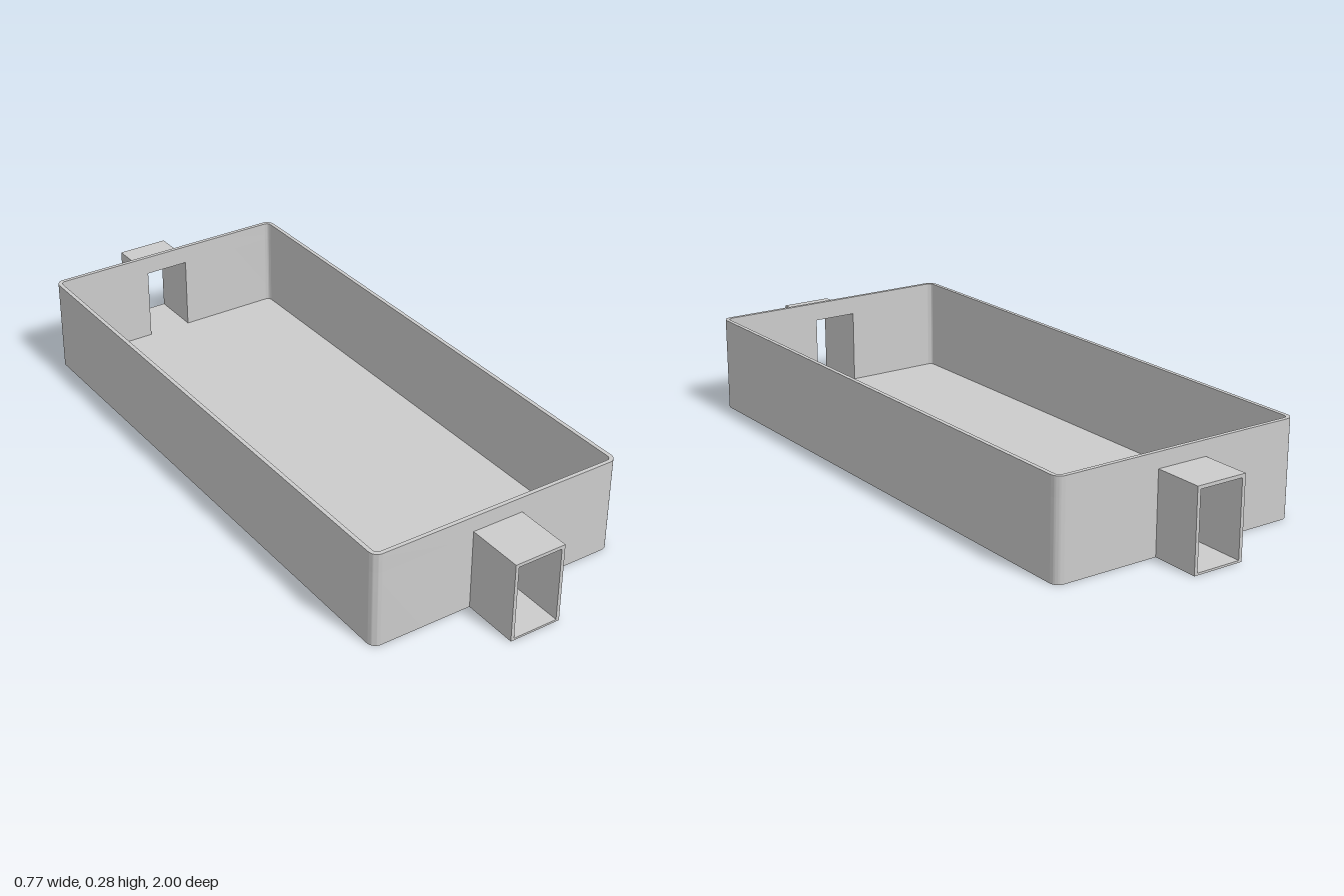
import * as THREE from 'three';
import { toCreasedNormals } from 'three/addons/utils/BufferGeometryUtils.js';

const HALF_X = 0.385, Z_BACK = -0.855, Z_FRONT = 0.832, HEIGHT = 0.28;
const RADIUS = 0.026, WALL = 0.012, FLOOR = 0.006;
// opening shared by the end walls and the ducts
const OPEN = { x0: -0.073, x1: 0.062, top: 0.225 };
const DUCT_WALL = 0.01;

// rounded footprint of the tray, inset by d (shape y is -z)
function footprint(d, Type = THREE.Shape) {
  const x = HALF_X - d, y0 = -Z_FRONT + d, y1 = -Z_BACK - d, r = RADIUS - d;
  const s = new Type();
  s.moveTo(-x + r, y0);
  s.lineTo(x - r, y0);
  s.absarc(x - r, y0 + r, r, -Math.PI / 2, 0);
  s.lineTo(x, y1 - r);
  s.absarc(x - r, y1 - r, r, 0, Math.PI / 2);
  s.lineTo(-x + r, y1);
  s.absarc(-x + r, y1 - r, r, Math.PI / 2, Math.PI);
  s.lineTo(-x, y0 + r);
  s.absarc(-x + r, y0 + r, r, Math.PI, Math.PI * 1.5);
  return s;
}

// C-shaped wall section on one side, ending at the opening edge
function sideSection(side, edge) {
  const s = new THREE.Shape();
  const x = HALF_X * side, y0 = -Z_FRONT, y1 = -Z_BACK, r = RADIUS, q = r - WALL;
  const cx = x - r * side, cw = side < 0;
  const mid = side > 0 ? 0 : Math.PI;
  s.moveTo(edge, y0);
  s.lineTo(cx, y0);
  s.absarc(cx, y0 + r, r, -Math.PI / 2, -mid, cw);
  s.lineTo(x, y1 - r);
  s.absarc(cx, y1 - r, r, mid, Math.PI / 2, cw);
  s.lineTo(edge, y1);
  s.lineTo(edge, y1 - WALL);
  s.lineTo(cx, y1 - WALL);
  s.absarc(cx, y1 - r, q, Math.PI / 2, mid, !cw);
  s.lineTo(x - WALL * side, y0 + r);
  s.absarc(cx, y0 + r, q, -mid, -Math.PI / 2, !cw);
  s.lineTo(edge, y0 + WALL);
  return s;
}

function extrude(shape, depth) {
  return new THREE.ExtrudeGeometry(shape, { depth, bevelEnabled: false, curveSegments: 8 });
}

export function createModel() {
  const model = new THREE.Group();
  model.name = 'tray';
  const material = new THREE.MeshStandardMaterial({ color: 0xcccccc });

  const add = (name, geometry) => {
    const mesh = new THREE.Mesh(toCreasedNormals(geometry, 0.6), material);
    mesh.name = name;
    model.add(mesh);
  };
  // horizontal slab or wall between two heights
  const layer = (name, shape, y0, y1) =>
    add(name, extrude(shape, y1 - y0).rotateX(-Math.PI / 2).translate(0, y0, 0));

  // floor plate
  layer('floor', footprint(0), 0, FLOOR);

  // walls beside the openings
  layer('leftWall', sideSection(1, OPEN.x1), FLOOR, OPEN.top);
  layer('rightWall', sideSection(-1, OPEN.x0), FLOOR, OPEN.top);

  // continuous wall above the openings
  const rim = footprint(0);
  rim.holes.push(footprint(WALL, THREE.Path));
  layer('upperWall', rim, OPEN.top, HEIGHT);

  // rectangular ducts through both ends
  const rect = (Type, x0, y0, x1, y1) => new Type([
    [x0, y0], [x1, y0], [x1, y1], [x0, y1],
  ].map(p => new THREE.Vector2(...p)));
  const duct = (name, z0, z1) => {
    const s = rect(THREE.Shape, OPEN.x0 - DUCT_WALL, 0, OPEN.x1 + DUCT_WALL, OPEN.top + DUCT_WALL);
    s.holes.push(rect(THREE.Path, OPEN.x0, FLOOR, OPEN.x1, OPEN.top));
    add(name, extrude(s, z1 - z0).translate(0, 0, z0));
  };
  duct('frontDuct', Z_FRONT, 1);
  duct('backDuct', -1, Z_BACK);

  return model;
}
